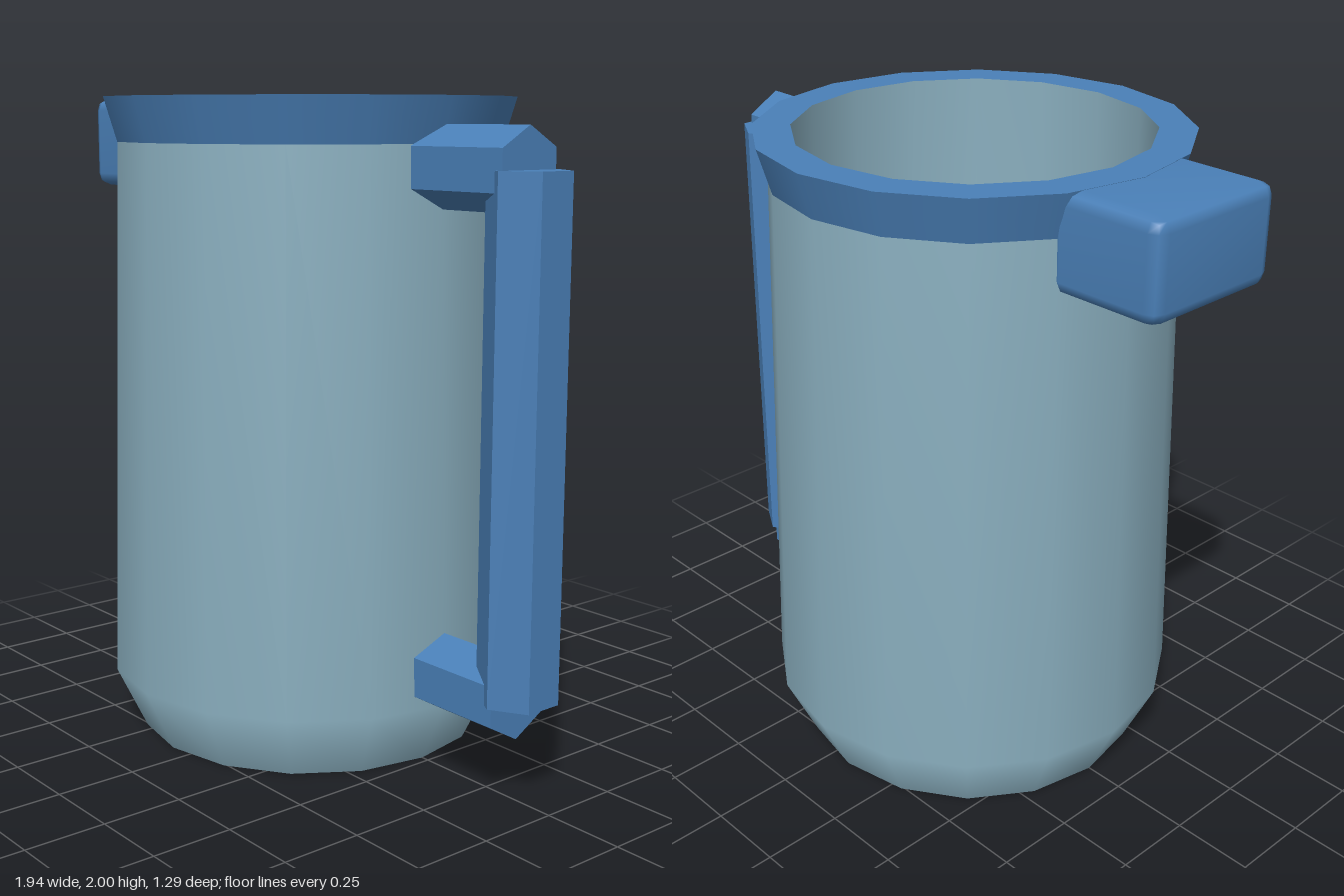
import * as THREE from 'three';
import { mergeVertices } from 'three/addons/utils/BufferGeometryUtils.js';
import { RoundedBoxGeometry } from 'three/addons/geometries/RoundedBoxGeometry.js';

const AXIS_X = -0.075; // centre of the vessel

export function createModel() {
  const group = new THREE.Group();
  const glass = new THREE.MeshStandardMaterial({ color: 0x8bb0c0 });
  glass.name = 'paleTeal';
  const blue = new THREE.MeshStandardMaterial({ color: 0x4a80b8 });
  blue.name = 'blue';

  function add(name, geometry, material, x, y, z = 0) {
    const mesh = new THREE.Mesh(geometry, material);
    mesh.name = name;
    mesh.position.set(x, y, z);
    group.add(mesh);
  }

  // Sixteen-sided turned part, smooth along its own profile
  function turned(name, profile, material) {
    const points = profile.map(([r, y]) => new THREE.Vector2(r, y));
    add(name, new THREE.LatheGeometry(points, 16), material, AXIS_X, 0);
  }

  // Vessel: base, outer wall, flared rim and hollow inside
  turned('base', [[0, 0], [0.55, 0]], glass);
  turned('outerWall', [[0.55, 0], [0.645, 0.2], [0.603, 1.865]], glass);
  turned('rimFlare', [[0.603, 1.865], [0.643, 2]], blue);
  turned('rimTop', [[0.643, 2], [0.53, 2]], blue);
  turned('innerWall', [[0.53, 2], [0.56, 0.2], [0.48, 0.06], [0, 0.06]], glass);

  // Spout: softened block set into the wall under the rim
  let spout = new RoundedBoxGeometry(0.37, 0.292, 0.475, 1, 0.04);
  spout.deleteAttribute('normal');
  spout.deleteAttribute('uv');
  spout = mergeVertices(spout, 1e-4);
  spout.computeVertexNormals();
  add('spout', spout, blue, -0.785, 1.853);

  // Handle: hexagonal bars with sharp edges
  function hexBar(length, thetaStart = 0) {
    return new THREE.CylinderGeometry(0.12, 0.12, length, 6, 1, false, thetaStart).toNonIndexed();
  }
  const grip = hexBar(1.495);
  grip.computeVertexNormals();
  add('handleGrip', grip, blue, 0.865, 1.0525);

  for (const [name, y] of [['upperHandleArm', 1.8], ['lowerHandleArm', 0.305]]) {
    const start = 0.49, end = 0.865;
    const arm = hexBar(end - start, Math.PI / 2).rotateZ(Math.PI / 2);
    arm.computeVertexNormals();
    add(name, arm, blue, (start + end) / 2, y);
  }
  return group;
}
